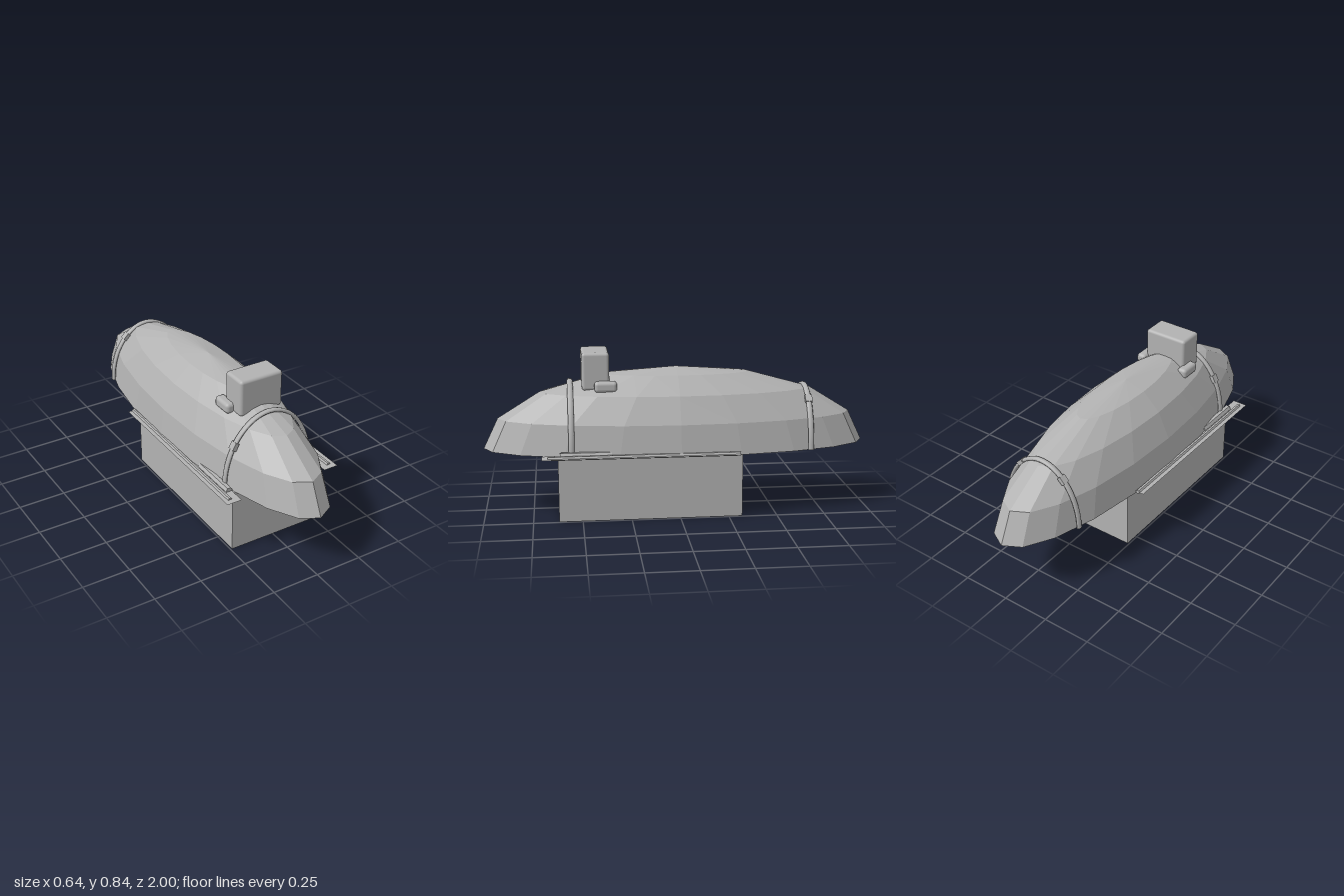
import * as THREE from 'three';
import { RoundedBoxGeometry } from 'three/addons/geometries/RoundedBoxGeometry.js';

const BASE = 0.335;   // height of the hull's flat underside
const WIDTH = 0.29, HEIGHT = 0.415;

export function createModel() {
  const model = new THREE.Group();
  model.name = 'airship';
  const grey = new THREE.MeshStandardMaterial({ color: 0xb2b2b2 });
  grey.name = 'grey';
  const faceted = grey.clone();
  faceted.flatShading = true;
  const sheet = grey.clone();
  sheet.side = THREE.DoubleSide;

  const add = (name, geometry, material, x = 0, y = 0, z = 0) => {
    const mesh = new THREE.Mesh(geometry, material);
    mesh.name = name;
    mesh.position.set(x, y, z);
    model.add(mesh);
    return mesh;
  };

  // Half-ellipsoid hull with a flat underside
  const dome = new THREE.SphereGeometry(1, 20, 4, 0, Math.PI * 2, 0, Math.PI / 2);
  dome.scale(WIDTH, HEIGHT, 1);
  add('hull', dome, faceted, 0, BASE, 0);
  const floor = new THREE.CircleGeometry(1, 20);
  floor.rotateX(Math.PI / 2);
  floor.scale(WIDTH, 1, 1);
  add('hullFloor', floor, grey, 0, BASE, 0);

  // Box-shaped base
  add('base', new THREE.BoxGeometry(0.484, BASE, 0.94), grey, 0, BASE / 2, 0.15);

  // Cabin with a small rounded pod on each side
  add('cabin', new RoundedBoxGeometry(0.24, 0.193, 0.14, 3, 0.016), grey, 0, 0.7465, 0.42);
  for (const s of [-1, 1]) {
    add('cabinPod', new RoundedBoxGeometry(0.055, 0.055, 0.115, 3, 0.018), grey, s * 0.13, 0.672, 0.37);
  }

  // Hoops hugging the hull, with small clamps
  const hoop = (name, z, clamps) => {
    const k = Math.sqrt(1 - z * z);
    const a = WIDTH * k + 0.003, b = HEIGHT * k + 0.002;
    const at = (t) => new THREE.Vector3(Math.cos(t) * a, Math.sin(t) * b, 0);
    const points = [];
    for (let i = 0; i <= 16; i++) points.push(at((Math.PI * i) / 16));
    const tube = new THREE.TubeGeometry(new THREE.CatmullRomCurve3(points), 32, 0.01, 8);
    tube.scale(1, 1, 1.5);
    add(name, tube, sheet, 0, BASE, z);
    for (const t of clamps) {
      const p = at(t);
      const clamp = add(name + 'Clamp', new THREE.BoxGeometry(0.022, 0.04, 0.036), grey, p.x, BASE + p.y, z);
      clamp.rotation.z = Math.atan2(b * Math.cos(t), -a * Math.sin(t)) - Math.PI / 2;
    }
  };
  hoop('frontHoop', 0.55, [2.48]);
  hoop('rearHoop', -0.68, [0.95, 2.2]);

  // Side plates, long hexagonal rails and short hexagonal tubes
  const hexRod = (r, length) =>
    new THREE.CylinderGeometry(r, r, length, 6, 1, false, Math.PI / 2).rotateX(Math.PI / 2);
  for (const s of [-1, 1]) {
    add('sidePlate', new THREE.PlaneGeometry(0.08, 1).rotateX(-Math.PI / 2), sheet, s * 0.282, 0.345, 0.2);
    add('sideRail', hexRod(0.011, 0.97), faceted, s * 0.289, 0.345, 0.185);
    add('sideTube', hexRod(0.019, 0.26), faceted, s * 0.256, 0.348, 0.48);
  }
  return model;
}
